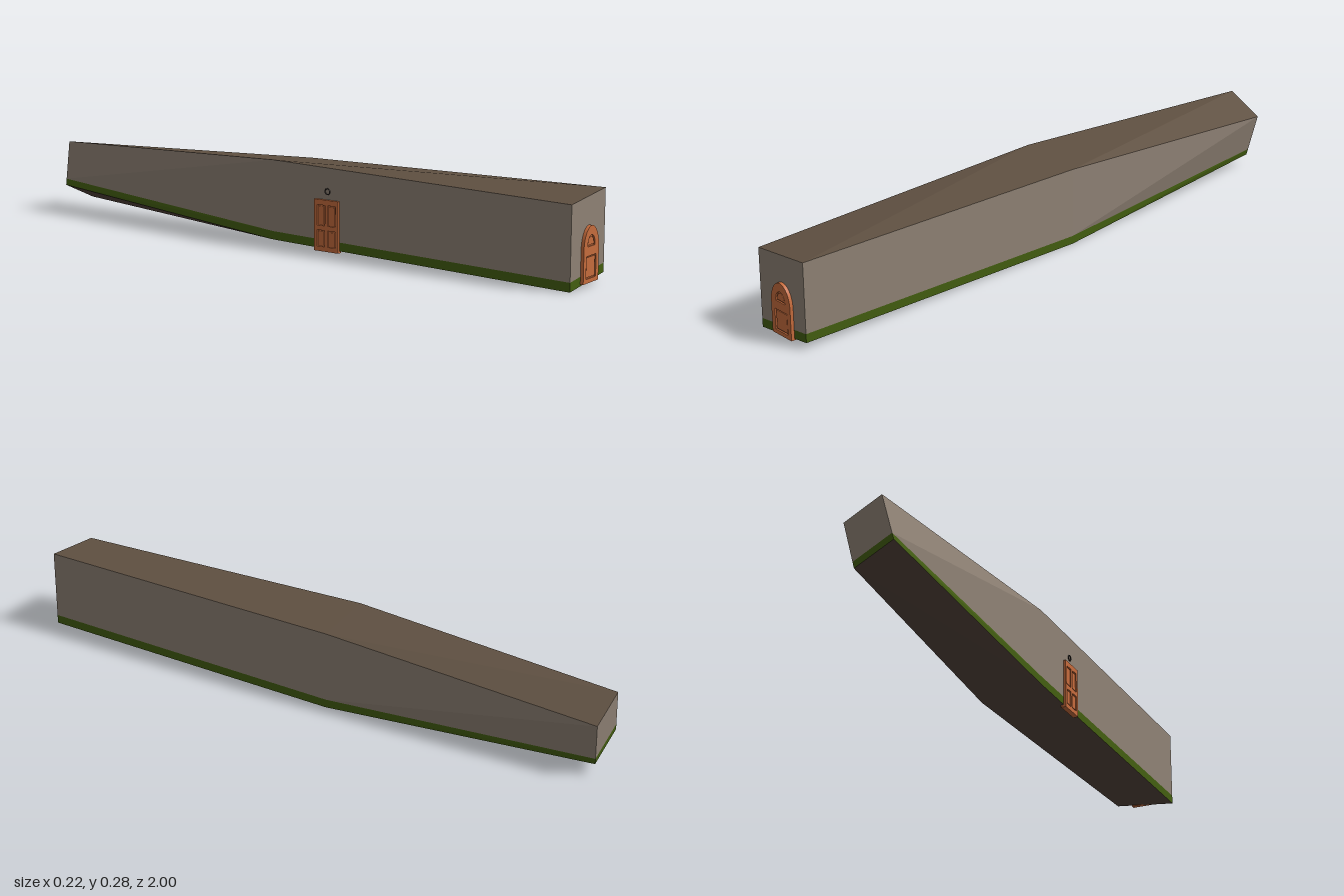
import * as THREE from 'three';

const mat = (name, color, side = THREE.FrontSide) => {
  const m = new THREE.MeshStandardMaterial({ color, flatShading: true, side });
  m.name = name;
  return m;
};

// Quads and end caps from corner lists, counter-clockwise from outside
function quadMesh(name, quads, material) {
  const pos = [];
  for (const [a, b, c, d] of quads) pos.push(...a, ...b, ...c, ...a, ...c, ...d);
  const g = new THREE.BufferGeometry();
  g.setAttribute('position', new THREE.Float32BufferAttribute(pos, 3));
  g.computeVertexNormals();
  const mesh = new THREE.Mesh(g, material);
  mesh.name = name;
  return mesh;
}

// Rectangular outline, optionally with an elliptical arch on top
function outline(Type, x0, x1, y0, y1, arch = 0) {
  const p = new Type();
  p.moveTo(x0, y0);
  p.lineTo(x1, y0);
  p.lineTo(x1, y1);
  if (arch) p.absellipse((x0 + x1) / 2, y1, (x1 - x0) / 2, arch, 0, Math.PI, false, 0);
  else p.lineTo(x0, y1);
  p.closePath();
  return p;
}

// Door: framed slab with sunk panels, each holding a raised centre field
function makeDoor(name, edge, panels, material) {
  const group = new THREE.Group();
  group.name = name;
  const add = (part, shape, depth, z) => {
    const g = new THREE.ExtrudeGeometry(shape, { depth, bevelEnabled: false, curveSegments: 20 });
    const mesh = new THREE.Mesh(g, material);
    mesh.name = part;
    mesh.position.z = z;
    group.add(mesh);
  };
  const frame = outline(THREE.Shape, ...edge);
  panels.forEach((p) => frame.holes.push(outline(THREE.Path, ...p)));
  add('doorFrame', frame, 0.005, 0);
  add('doorSlab', outline(THREE.Shape, ...edge), 0.012, -0.012);
  for (const [x0, x1, y0, y1, arch = 0] of panels) {
    const t = 0.004;
    add('doorPanel', outline(THREE.Shape, x0 + t, x1 - t, y0 + t, arch ? y1 : y1 - t, arch ? arch - t : 0), 0.003, 0);
  }
  return group;
}

export function createModel() {
  const wall = mat('stone wall', 0x8f8275);
  const roof = mat('brown roof', 0x5f5041);
  const floor = mat('dark underside', 0x54443c);
  const grass = mat('grass green', 0x435e10);
  const wood = mat('orange wood', 0xc66c3d);
  const iron = mat('dark iron', 0x2a2624);
  const model = new THREE.Group();
  model.name = 'longTwistedHall';

  // Cross-sections front to back: bottom left, bottom right, top right, top left
  const sections = [
    [[-0.1, 0.002, 0.99], [0.107, 0.025, 0.987], [0.107, 0.28, 0.987], [-0.1, 0.26, 0.99]],
    [[-0.1, 0.025, -0.08], [0.107, 0.002, -0.08], [0.107, 0.26, -0.08], [-0.1, 0.282, -0.08]],
    [[-0.08, 0.1, -0.987], [0.048, 0.04, -0.982], [0.08, 0.186, -0.995], [-0.045, 0.245, -1.0]],
  ];
  const mix = (a, b, t) => a.map((v, i) => v + (b[i] - v) * t);
  const rings = sections.map(([bl, br, tr, tl], i) => {
    const band = [0.112, 0.105, 0.14][i];
    return [bl, br, mix(br, tr, band), tr, tl, mix(bl, tl, band)];
  });

  // Long faces, sorted by colour
  const strip = (k) => rings.slice(0, -1).map((r, i) => {
    const s = rings[i + 1], n = (k + 1) % 6;
    return [r[k], s[k], s[n], r[n]];
  });
  const [f, , b] = rings;
  model.add(
    quadMesh('underside', strip(0), floor),
    quadMesh('roof', strip(3), roof),
    quadMesh('walls', [...strip(2), ...strip(4), [f[5], f[2], f[3], f[4]], [b[2], b[5], b[4], b[3]]], wall),
    quadMesh('grassBand', [...strip(1), ...strip(5), [f[0], f[1], f[2], f[5]], [b[1], b[0], b[5], b[2]]], grass),
  );

  // Arched front door
  const front = makeDoor('frontDoor', [-0.038, 0.052, 0.014, 0.115, 0.069],
    [[-0.022, 0.036, 0.027, 0.095], [-0.015, 0.028, 0.123, 0.127, 0.029]], wood);
  front.position.z = 0.994;
  model.add(front);

  // Square side door with four panels
  const panels = [];
  for (const x of [-0.035, 0.005]) {
    for (const [y0, y1] of [[0.028, 0.08], [0.095, 0.16]]) panels.push([x, x + 0.03, y0, y1]);
  }
  const side = makeDoor('sideDoor', [-0.046, 0.046, 0.013, 0.177], panels, wood);
  side.rotation.y = -Math.PI / 2;
  side.position.set(-0.103, 0, 0.13);
  model.add(side);

  // Small iron ring above the side door
  const ring = new THREE.Mesh(new THREE.TorusGeometry(0.009, 0.002, 6, 16), iron);
  ring.name = 'wallRing';
  ring.rotation.y = -Math.PI / 2;
  ring.position.set(-0.101, 0.203, 0.13);
  model.add(ring);

  return model;
}
